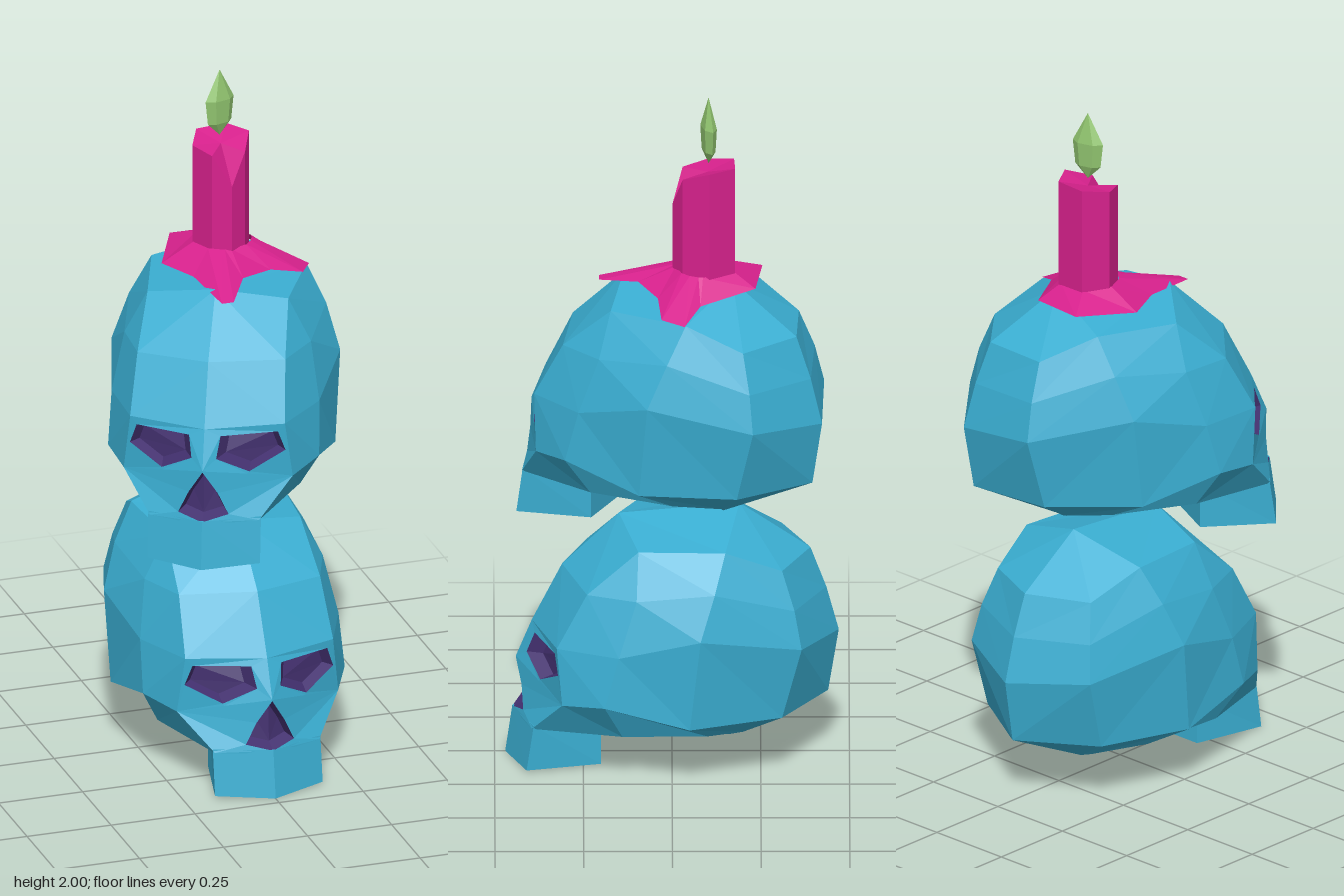
import * as THREE from 'three';

const bone = new THREE.MeshStandardMaterial({ color: 0x3aaed2, name: 'blue bone' });
const hollow = new THREE.MeshStandardMaterial({ color: 0x43306f, name: 'dark purple' });
const wax = new THREE.MeshStandardMaterial({ color: 0xd8218d, name: 'pink wax', side: THREE.DoubleSide });
const fire = new THREE.MeshStandardMaterial({ color: 0x92c670, name: 'green flame' });

function named(mesh, name) {
  mesh.name = name;
  return mesh;
}

// Flat-faced geometry from a list of polygons (each a fan of [x, y, z])
function facets(polys, mirror = false) {
  const pos = [];
  for (const p of polys) {
    for (let i = 1; i < p.length - 1; i++) {
      pos.push(...p[0], ...p[i], ...p[i + 1]);
      if (mirror) for (const q of [p[0], p[i + 1], p[i]]) pos.push(-q[0], q[1], q[2]);
    }
  }
  const g = new THREE.BufferGeometry();
  g.setAttribute('position', new THREE.Float32BufferAttribute(pos, 3));
  g.computeVertexNormals();
  return g;
}

const mix = (a, b, t) => a.map((v, i) => v + (b[i] - v) * t);

// Strip of quads between two matching loops
function band(a, b, closed = true) {
  const out = [];
  for (let i = 0; i < a.length - (closed ? 0 : 1); i++) {
    const j = (i + 1) % a.length;
    out.push([a[i], b[i], b[j], a[j]]);
  }
  return out;
}

// Half skull: columns run crown to base, from the face centre round to the back centre
const columns = [
  [[0, .725, .15], [0, .57, .31], [0, .40, .395], [0, .29, .44], [0, .13, .45]],
  [[.2, .685, .095], [.21, .56, .24], [.22, .40, .325], [.24, .235, .31], [.155, .13, .395]],
  [[.2, .685, .095], [.265, .56, .1], [.295, .40, .15], [.3, .25, .19], [.24, .14, .14]],
  [[.22, .69, -.15], [.28, .585, -.12], [.325, .46, -.08], [.315, .19, -.05], [.2, .125, -.1]],
  [[.18, .62, -.31], [.21, .51, -.345], [.23, .40, -.365], [.22, .19, -.31], [.08, .09, -.2]],
  [[0, .62, -.39], [0, .5, -.435], [0, .37, -.47], [0, .185, -.44], [0, .05, -.16]],
];

function buildSkullGeometry() {
  const shell = [], sockets = [];

  // Sunken opening cut into one face cell; outline is in the cell's u, v
  function socket(r, outline, midBottom, nose) {
    const [a, b] = columns;
    const tl = a[r], tr = b[r], br = b[r + 1], bl = a[r + 1];
    const outer = midBottom ? [tl, tr, br, mix(bl, br, .5), bl] : [tl, tr, br, bl];
    const rim = outline.map(([u, v]) => mix(mix(tl, tr, u), mix(bl, br, u), v));
    const mid = rim.reduce((s, p) => s.map((v, i) => v + p[i] / rim.length), [0, 0, 0]);
    if (nose) mid[0] = 0;
    const floor = rim.map((p) => {
      const q = mix(p, mid, .25);
      return [q[0], q[1], q[2] - .035];
    });
    shell.push(...band(outer, rim));
    sockets.push(...band(rim, floor, !nose), [...floor].reverse());
  }

  for (let c = 0; c < 5; c++) {
    for (let r = 0; r < 4; r++) {
      if (c === 0 && r >= 2) continue;
      const a = columns[c], b = columns[c + 1];
      shell.push([a[r], a[r + 1], b[r + 1], b[r]]);
    }
    // Underside
    shell.push([columns[c + 1][4], columns[c][4], [0, .14, .03]]);
  }
  // Crown
  const crown = [0, .755, -.19];
  shell.push([columns[0][0], columns[1][0], columns[3][0], crown]);
  shell.push([crown, columns[3][0], columns[4][0], columns[5][0]]);

  socket(2, [[.2, .18], [.9, .14], [.96, .5], [.52, .95], [.15, .7]], true, false);
  socket(3, [[0, .02], [.2, .4], [.42, .82], [0, .95]], false, true);
  return { shell: facets(shell, true), sockets: facets(sockets, true) };
}

// Upper jaw: short hollow block, leaning forward slightly at the teeth
function buildJawGeometry() {
  const ring = (pts) => pts.map(([x, z]) => new THREE.Vector2(x, z));
  const shape = new THREE.Shape(ring([[-.11, .2], [.11, .2], [.16, .41], [0, .47], [-.16, .41]]));
  shape.holes.push(new THREE.Path(ring([[-.07, .24], [-.11, .38], [0, .42], [.11, .38], [.07, .24]])));
  const g = new THREE.ExtrudeGeometry(shape, { depth: .135, bevelEnabled: false });
  g.rotateX(Math.PI / 2).translate(0, .14, 0);
  const p = g.attributes.position;
  for (let i = 0; i < p.count; i++) {
    if (p.getY(i) > .1 && p.getZ(i) > .35) p.setZ(i, p.getZ(i) - .02);
    else if (p.getY(i) < .1 && Math.abs(p.getX(i)) < .01) p.setY(i, 0);
  }
  g.computeVertexNormals();
  return g;
}

function buildCandle() {
  const candle = new THREE.Group();
  candle.name = 'candle';

  // Stem: x, z and rim height of each corner, with a melted notch in front
  const rim = [[-.055, -.1, 1.78], [-.02, -.03, 1.77], [.03, -.002, 1.68], [.078, -.03, 1.77],
    [.115, -.105, 1.8], [.07, -.178, 1.8], [-.018, -.175, 1.795]];
  const top = rim.map(([x, z, y]) => [x, y, z]);
  const foot = rim.map(([x, z]) => [x, 1.45, z]);
  const centre = [.03, 1.775, -.1];
  const lid = top.map((p, i) => [centre, p, top[(i + 1) % top.length]]);
  candle.add(named(new THREE.Mesh(facets([...band(top, foot), ...lid]), wax), 'candleStem'));

  // Melted wax: jagged skirt with two long drips
  const edge = [[-.07, 1.45, -.255], [-.15, 1.435, -.09], [-.095, 1.435, .03], [-.07, 1.42, .205],
    [-.035, 1.42, .205], [.03, 1.44, .095], [.13, 1.43, .04], [.23, 1.405, .03],
    [.27, 1.4, -.035], [.19, 1.43, -.08], [.095, 1.445, -.235]];
  const collar = edge.map(([x, , z]) => {
    const dx = x - .03, dz = z + .095, k = .085 / Math.hypot(dx, dz);
    return [.03 + dx * k, 1.487, -.095 + dz * k];
  });
  candle.add(named(new THREE.Mesh(facets(band(collar, edge)), wax), 'meltedWax'));

  // Flame: flattened faceted drop
  const profile = [[0, 1.8], [.04, 1.84], [.048, 1.91], [0, 2]].map(([x, y]) => new THREE.Vector2(x, y));
  const drop = new THREE.LatheGeometry(profile, 6, Math.PI / 6).scale(1, 1, .42).toNonIndexed();
  drop.computeVertexNormals();
  const flame = named(new THREE.Mesh(drop, fire), 'flame');
  flame.position.set(.027, 0, -.103);
  flame.rotation.y = .28;
  candle.add(flame);
  return candle;
}

export function createModel() {
  const model = new THREE.Group();
  model.name = 'skullCandle';
  const head = buildSkullGeometry();
  const jaw = buildJawGeometry();

  // Two stacked skulls, the upper one turned to its right
  for (const [name, y, turn] of [['lowerSkull', 0, 0], ['upperSkull', .71, -26]]) {
    const skull = new THREE.Group();
    skull.name = name;
    skull.add(named(new THREE.Mesh(head.shell, bone), 'cranium'));
    skull.add(named(new THREE.Mesh(head.sockets, hollow), 'eyeAndNoseSockets'));
    skull.add(named(new THREE.Mesh(jaw, bone), 'upperJaw'));
    skull.position.y = y;
    skull.rotation.y = THREE.MathUtils.degToRad(turn);
    model.add(skull);
  }
  model.add(buildCandle());
  return model;
}
